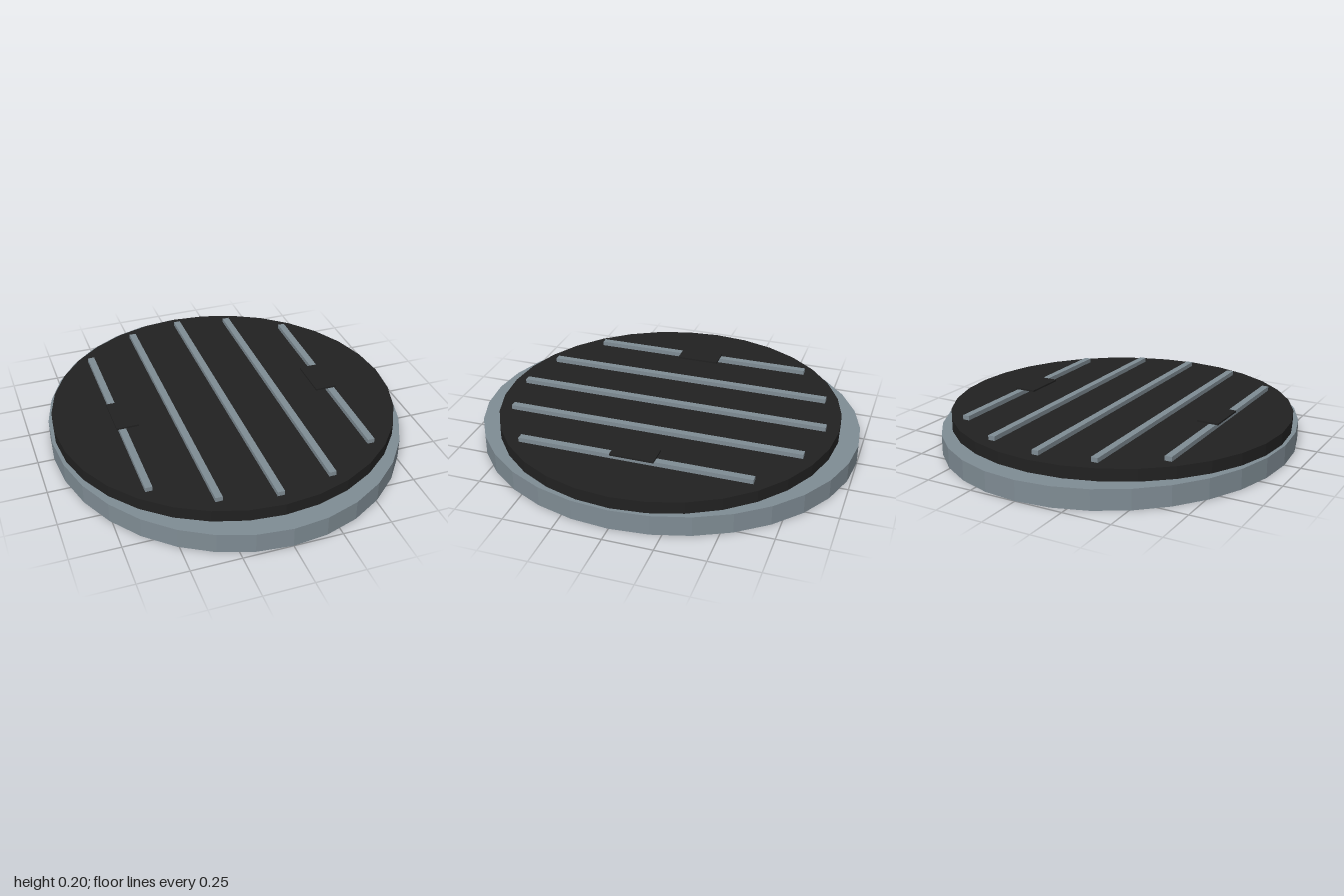
import * as THREE from 'three';

export function createModel() {
  const model = new THREE.Group();
  const steel = new THREE.MeshStandardMaterial({ color: 0x7f8c94, flatShading: true });
  steel.name = 'blueGreySteel';
  const black = new THREE.MeshStandardMaterial({ color: 0x212121, flatShading: true });
  black.name = 'black';

  const add = (name, geometry, material, x, y, z = 0) => {
    const mesh = new THREE.Mesh(geometry, material);
    mesh.name = name;
    mesh.position.set(x, y, z);
    model.add(mesh);
  };

  // Faceted oval disc standing on the given height
  const disc = (name, rx, rz, bottom, top, material) => {
    const geometry = new THREE.CylinderGeometry(1, 1, top - bottom, 32).scale(rx, 1, rz);
    add(name, geometry, material, 0, (bottom + top) / 2);
  };
  disc('base', 0.915, 1, 0, 0.104, steel);
  disc('topPlate', 0.897, 0.897, 0.104, 0.166, black);

  // Parallel grip bars, shorter towards the sides
  const halfLengths = [0.6, 0.775, 0.83, 0.775, 0.6];
  halfLengths.forEach((half, i) => {
    add('gripBar', new THREE.BoxGeometry(0.036, 0.03, half * 2), steel, (i - 2) * 0.286, 0.174);
  });

  // Small tabs lying on the outer bars
  for (const side of [-1, 1]) {
    add('tab', new THREE.BoxGeometry(0.115, 0.009, 0.226), black, side * 0.545, 0.1935);
  }
  return model;
}
